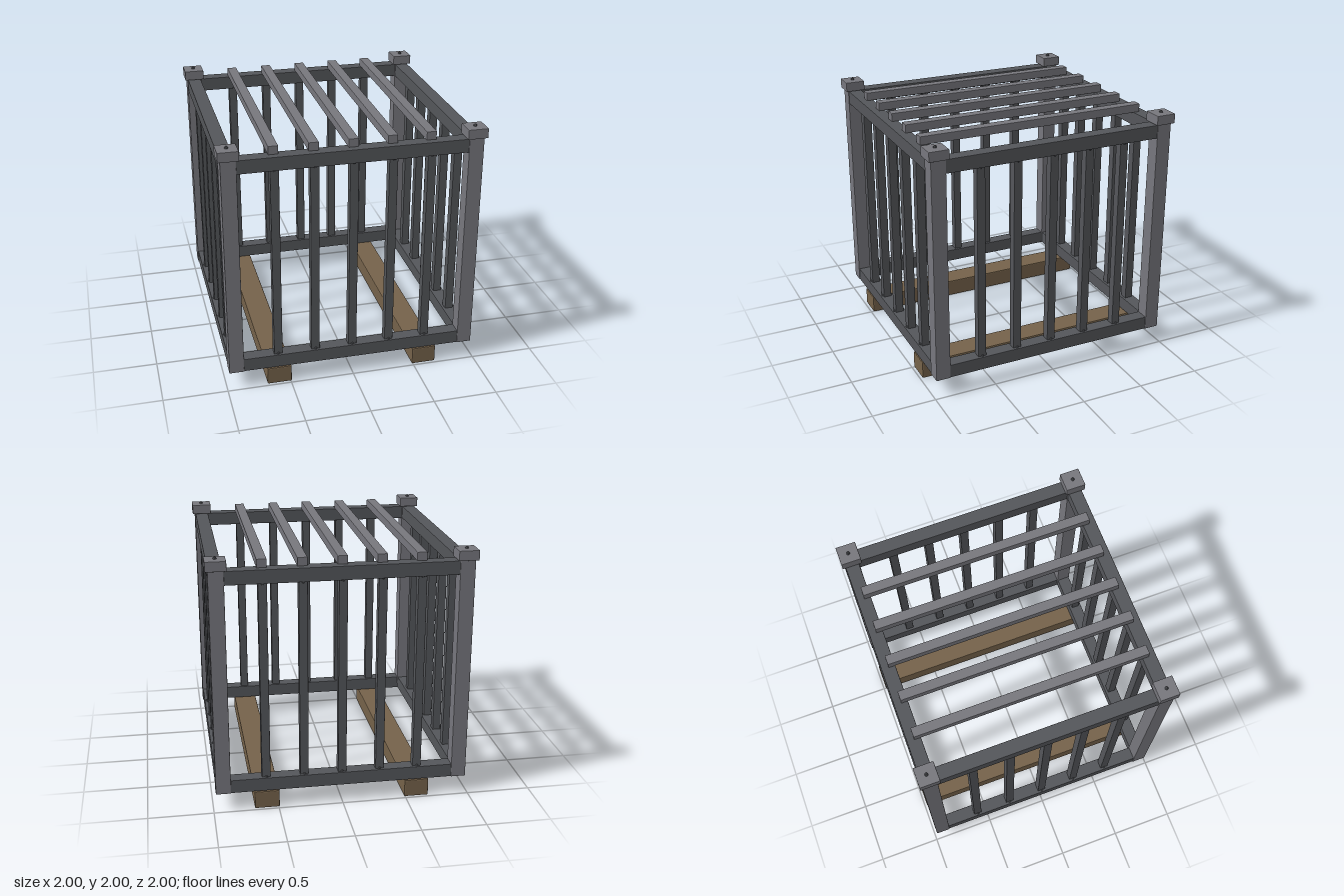
import * as THREE from 'three';
import { RoundedBoxGeometry } from 'three/addons/geometries/RoundedBoxGeometry.js';

const material = (color) => new THREE.MeshStandardMaterial({ color, flatShading: true });

export function createModel() {
  const model = new THREE.Group();
  model.name = 'cage';
  const steel = material(0x77777d);
  const darkSteel = material(0x54565a);
  const wood = material(0x75624a);

  function part(name, geometry, mat, x, y, z) {
    const mesh = new THREE.Mesh(geometry, mat);
    mesh.name = name;
    mesh.position.set(x, y, z);
    model.add(mesh);
    return mesh;
  }
  // Box with a slight chamfer on every edge
  const beam = (w, h, d, r = 0.004) => new RoundedBoxGeometry(w, h, d, 1, r);

  const side = 0.922; // centre line of the frame
  const signs = [-1, 1];
  const slots = [-2, -1, 0, 1, 2].map((i) => i * 0.295);

  // Corner posts with caps and rivets
  const postShape = beam(0.116, 1.765, 0.116);
  const capShape = beam(0.155, 0.076, 0.155);
  const rivetShape = new THREE.SphereGeometry(0.014, 8, 4, 0, Math.PI * 2, 0, Math.PI / 2);
  for (const x of signs) for (const z of signs) {
    part('cornerPost', postShape, steel, x * side, 1.0265, z * side);
    part('postCap', capShape, steel, x * side, 1.943, z * side);
    part('capRivet', rivetShape, darkSteel, x * side, 1.98, z * side).scale.y = 1.4;
  }

  // Horizontal rails, upper and lower, on all four sides
  const railX = beam(1.74, 0.106, 0.106);
  const railZ = beam(0.106, 0.106, 1.74);
  for (const y of [0.198, 1.848]) for (const s of signs) {
    part('crossRail', railX, darkSteel, 0, y, s * side);
    part('sideRail', railZ, darkSteel, s * side, y, 0);
  }

  // Upright bars in each wall, with small studs where they meet the rails
  const barShape = beam(0.066, 1.57, 0.066, 0.003);
  const studShape = new THREE.SphereGeometry(0.012, 6, 4);
  for (const s of signs) for (const t of slots) {
    part('wallBar', barShape, darkSteel, t, 1.023, s * side);
    part('wallBar', barShape, darkSteel, s * side, 1.023, t);
    for (const y of [0.253, 1.793]) {
      part('barStud', studShape, darkSteel, t, y, s * (side + 0.033));
      part('barStud', studShape, darkSteel, s * (side + 0.033), y, t);
    }
  }

  // Roof bars resting on the upper rails
  const roofShape = beam(0.076, 0.066, 1.84);
  for (const x of slots) part('roofBar', roofShape, steel, x, 1.932, 0);

  // Timber skids under the frame
  const skidShape = beam(0.192, 0.14, 1.96, 0.008);
  for (const s of signs) part('skid', skidShape, wood, s * 0.588, 0.07, 0);

  return model;
}
